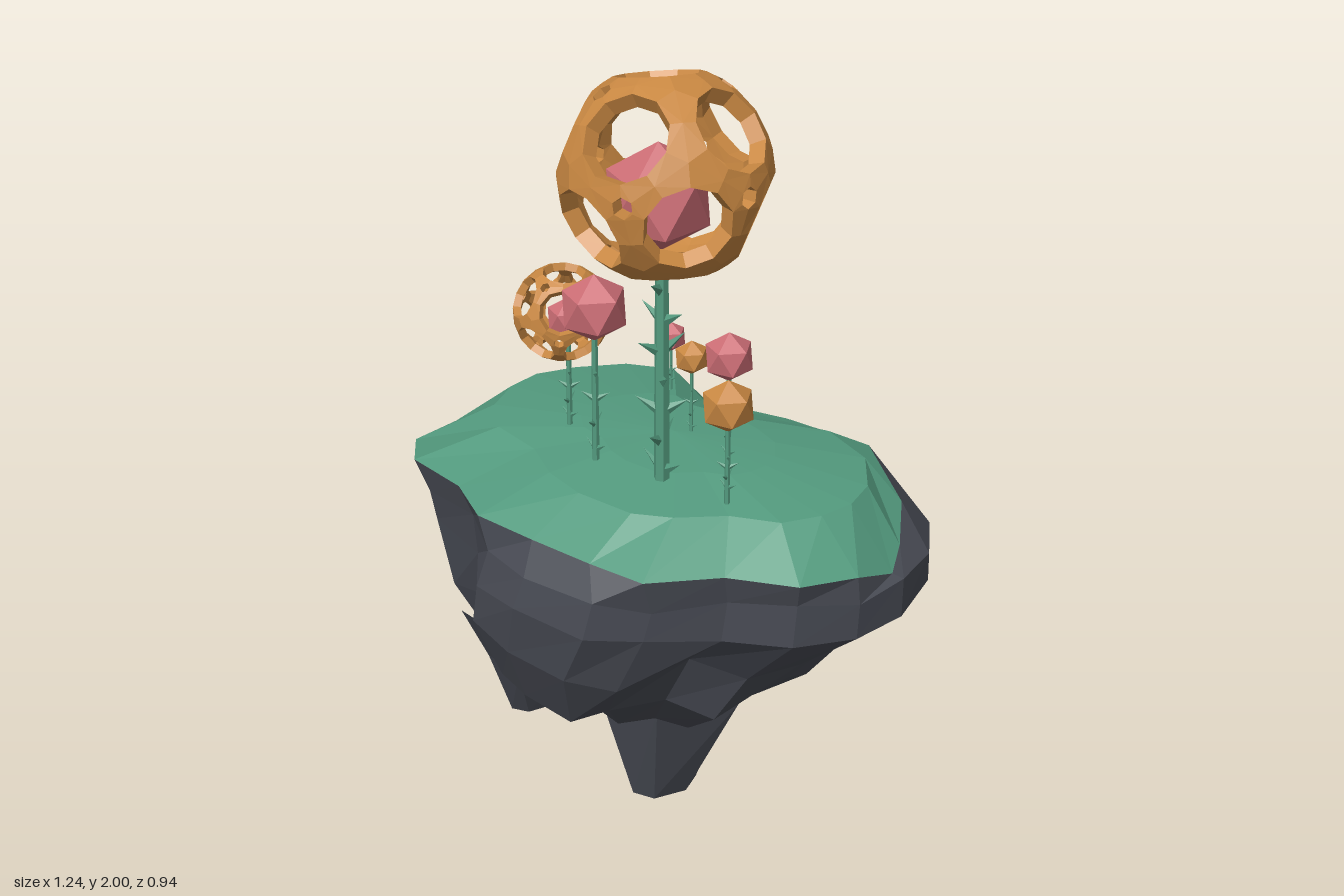
import * as THREE from 'three';

const flat = (name, color) => {
  const m = new THREE.MeshStandardMaterial({ color, flatShading: true });
  m.name = name;
  return m;
};
const rock = flat('slate rock', 0x484b54);
const grass = flat('grass green', 0x539a7e);
const amber = flat('amber shell', 0xc98842);
const pink = flat('pink core', 0xcc6d75);
const V = (x, y, z) => new THREE.Vector3(x, y, z);

function mesh(name, geometry, material, parent) {
  const m = new THREE.Mesh(geometry, material);
  m.name = name;
  parent.add(m);
  return m;
}

function fromTriangles(points) {
  const g = new THREE.BufferGeometry().setFromPoints(points);
  g.computeVertexNormals();
  return g;
}

// Skin between rings that run clockwise from above, listed top to bottom.
// pick(band, column) sorts each quad into a bucket.
function loft(rings, pick = () => 0) {
  const buckets = [[], []];
  for (let r = 0; r + 1 < rings.length; r++) {
    const a = rings[r], b = rings[r + 1], n = a.length;
    for (let i = 0; i < n; i++) {
      const j = (i + 1) % n;
      const out = buckets[pick(r, i)];
      if (!a[i].equals(a[j])) out.push(a[i], a[j], b[j]);
      if (!b[i].equals(b[j])) out.push(a[i], b[j], b[i]);
    }
  }
  return buckets.map(fromTriangles);
}

const noise = (a, b) => {
  const s = Math.sin(a * 127.1 + b * 311.7) * 43758.5453;
  return (s - Math.floor(s)) * 2 - 1;
};

// Plan outline of the island: left edge, back, right edge, front
const outline = [
  [-0.62, -0.02], [-0.57, -0.16], [-0.48, -0.31], [-0.35, -0.405], [-0.2, -0.385], [0.08, -0.475], [0.27, -0.455],
  [0.46, -0.4], [0.58, -0.26], [0.62, -0.13], [0.61, 0], [0.56, 0.13], [0.43, 0.22], [0.33, 0.36],
  [0.23, 0.44], [0.04, 0.47], [-0.11, 0.445], [-0.25, 0.37], [-0.43, 0.35], [-0.55, 0.25], [-0.61, 0.11],
];
// Lower edge of the turf: x, y, z
const rim = [
  [-0.572, 0.945, -0.02], [-0.57, 0.945, -0.16], [-0.48, 0.95, -0.31], [-0.35, 0.96, -0.325], [-0.165, 0.97, -0.325],
  [0.05, 1, -0.36], [0.25, 0.985, -0.42], [0.47, 0.98, -0.285], [0.56, 0.95, -0.18], [0.603, 0.925, -0.11],
  [0.605, 0.96, 0], [0.56, 0.97, 0.13], [0.43, 0.975, 0.22], [0.33, 0.975, 0.36], [0.2, 0.98, 0.39],
  [0.04, 0.98, 0.41], [-0.12, 0.98, 0.425], [-0.25, 0.98, 0.37], [-0.43, 0.97, 0.35], [-0.55, 0.94, 0.25], [-0.573, 0.93, 0.11],
];
// Level: y, min x, max x, min z, max z
const levels = [
  [1.09, 0.04, 0.04, -0.01, -0.01],
  [1.08, -0.2, 0.28, -0.17, 0.15],
  [1.053, -0.44, 0.49, -0.32, 0.29],
  [0.975, -0.575, 0.605, -0.42, 0.425],
  [0.9, -0.58, 0.62, -0.46, 0.455],
  [0.82, -0.62, 0.615, -0.475, 0.47],
  [0.68, -0.55, 0.46, -0.47, 0.44],
  [0.53, -0.46, 0.33, -0.35, 0.37],
  [0.41, -0.41, 0.16, -0.27, 0.21],
  [0.29, -0.2, -0.2, 0.03, 0.03],
];
// Grassy ledges, set by level then column: x, y, z
const ledges = {
  4: { 0: [-0.535, 0.865, -0.02], 20: [-0.535, 0.865, 0.1], 2: [-0.465, 0.86, -0.3], 3: [-0.33, 0.9, -0.33], 4: [-0.04, 0.87, -0.39] },
  5: { 0: [-0.618, 0.805, -0.02], 20: [-0.61, 0.8, 0.11], 2: [-0.46, 0.7, -0.325], 3: [-0.35, 0.67, -0.405], 4: [-0.2, 0.73, -0.387] },
};

function buildIsland(parent) {
  const island = new THREE.Group();
  island.name = 'floatingIsland';
  parent.add(island);
  const rings = levels.map(([y, x0, x1, z0, z1], r) => outline.map(([ox, oz], i) => {
    if (r === 3) return V(...rim[i]);
    if (ledges[r]?.[i]) return V(...ledges[r][i]);
    const p = V((x0 + x1) / 2 + (ox / 0.62) * (x1 - x0) / 2, y, (z0 + z1) / 2 + (oz / 0.473) * (z1 - z0) / 2);
    const pull = (k) => p.set(p.x * k, p.y, p.z * k);
    const leftFront = i >= 17 && i <= 19, rightFront = i >= 11 && i <= 13;
    if (r === 2 && (i === 4 || i === 5)) p.y -= 0.035;
    if (r === 4 || r === 5) p.y += 0.018 * noise(i, r);
    // walls under the turf lean inward at the front corners
    if (r === 5 && (leftFront || i === 1)) pull(0.92);
    if ((r === 4 || r === 5) && rightFront) pull(0.97);
    if ((r === 6 || r === 7) && leftFront) pull(0.91);
    if (r === 6 && i >= 2 && i <= 4) pull(0.9).y -= 0.09;
    // crags on the rock walls
    if (r > 5 && r < 9) {
      pull(1 + 0.06 * noise(r, i));
      p.y += 0.035 * noise(i, r + 5);
    }
    return p;
  }));
  const isGrass = (band, i) => band < 3 || (band === 4 && [0, 2, 3, 20].includes(i));
  const [stone, turf] = loft(rings, (b, i) => (isGrass(b, i) ? 1 : 0));
  mesh('rockBody', stone, rock, island);
  mesh('grassTop', turf, grass, island);

  // Hanging rock spikes: each ring is y, min x, max x, min z, max z, tilt along x
  const spike = (name, sections) => {
    const loops = sections.map(([y, x0, x1, z0, z1, tilt = 0], r) => Array.from({ length: 6 }, (_, i) => {
      const a = Math.PI + (i / 6) * Math.PI * 2, k = r < 2 ? 1 + 0.05 * noise(i, r) : 1;
      const c = Math.cos(a) * k;
      return V((x0 + x1) / 2 + c * (x1 - x0) / 2, y + tilt * (c + 1) / 2,
        (z0 + z1) / 2 + Math.sin(a) * k * (z1 - z0) / 1.73);
    }));
    const last = sections[sections.length - 1];
    const tip = V((last[1] + last[2]) / 2, last[0] + last[5] / 2, (last[3] + last[4]) / 2);
    loops.push(loops[0].map(() => tip));
    mesh(name, loft(loops)[0], rock, island);
  };
  spike('mainSpike', [[0.56, -0.42, 0.27, -0.34, 0.1], [0.36, -0.32, 0.13, -0.28, 0.02], [0, -0.18, -0.03, -0.19, -0.05, 0.04]]);
  spike('sideSpike', [[0.56, -0.47, -0.12, -0.1, 0.27], [0.4, -0.44, -0.22, -0.05, 0.19], [0.21, -0.415, -0.29, 0, 0.125, 0.04]]);
}

// Hollow ball with twelve ten-sided windows and eight small corner holes,
// turned so that neighbouring windows face `first` and `second`
function cageGeometry(radius, windowAngle, first, second) {
  const phi = (1 + Math.sqrt(5)) / 2, centres = [], tris = [];
  for (const s of [1, -1]) for (const t of [phi, -phi])
    centres.push(V(0, s, t).normalize(), V(s, t, 0).normalize(), V(t, 0, s).normalize());
  const near = (a, b) => a.dot(b) > 0.4 && a.dot(b) < 0.9;
  const toward = (a, b, deg) => {
    const t = b.clone().addScaledVector(a, -a.dot(b)).normalize(), w = THREE.MathUtils.degToRad(deg);
    return a.clone().multiplyScalar(Math.cos(w)).addScaledVector(t, Math.sin(w));
  };
  const inner = (p) => p.clone().multiplyScalar(0.84);
  for (const c of centres) for (const n of centres) for (const m of centres) {
    if (!near(c, n) || !near(c, m) || !near(n, m)) continue;
    const corner = c.clone().add(n).add(m).normalize(), mid = c.clone().add(n).normalize();
    const holed = Math.min(Math.abs(corner.x), Math.abs(corner.y), Math.abs(corner.z)) > 0.5;
    const hc = toward(c, corner, windowAngle), hm = toward(c, mid, windowAngle);
    const p = holed ? toward(corner, mid, 6) : corner;
    const q = holed ? toward(corner, c, 6) : corner;
    const flip = c.dot(n.clone().cross(m)) < 0;
    const add = (a, b, d) => (flip ? tris.push(a, d, b) : tris.push(a, b, d));
    const skin = (a, b, d) => { add(a, b, d); add(inner(a), inner(d), inner(b)); };
    const wall = (a, b) => { add(b, a, inner(a)); add(b, inner(a), inner(b)); };
    skin(hc, hm, mid);
    skin(hc, mid, p);
    wall(hc, hm);
    if (holed) { skin(hc, p, q); wall(p, q); }
  }
  const basis = (f, s) => {
    const x = f.clone().normalize(), z = x.clone().cross(s).normalize();
    return new THREE.Matrix4().makeBasis(x, z.clone().cross(x), z);
  };
  const turn = basis(first, second).multiply(basis(V(-1, phi, 0), V(0, 1, phi)).invert());
  return fromTriangles(tris).applyMatrix4(turn).scale(radius, radius, radius);
}

// Twenty-sided ball with a corner pointing up
const ballGeometry = (r) => new THREE.IcosahedronGeometry(r, 0).rotateZ(-Math.atan(2 / (1 + Math.sqrt(5))));

// Stem with pairs of pointed leaves, each pair turned from the last
function buildStem(parent, x, z, top, r, leaf, pairs, leafTop) {
  const base = 1.04;
  const stem = mesh('stem', new THREE.CylinderGeometry(r * 0.8, r, top - base, 6), grass, parent);
  stem.position.set(x, (top + base) / 2, z);
  for (let i = 0; i < pairs; i++) {
    const y = 1.1 + (leafTop - 1.1) * (i / (pairs - 1));
    for (const side of [0, Math.PI]) {
      const g = new THREE.ConeGeometry(leaf * 0.24, leaf, 4).scale(1, 1, 0.6).translate(0, leaf / 2, 0);
      g.rotateZ(-1.05).translate(r * 0.5, 0, 0).rotateY(side + i * 1.9);
      mesh('leaf', g, grass, parent).position.set(x, y, z);
    }
  }
}

export function createModel() {
  const model = new THREE.Group();
  model.name = 'floatingIslandGarden';
  buildIsland(model);

  const plant = (name) => {
    const g = new THREE.Group();
    g.name = name;
    model.add(g);
    return g;
  };

  // Large caged flower
  const big = plant('largeCageFlower');
  buildStem(big, 0.157, 0.14, 1.6, 0.018, 0.055, 7, 1.52);
  mesh('cage', cageGeometry(0.222, 25, V(-0.1, -0.35, 0.93), V(0.26, 0.76, 0.6)), amber, big).position.set(0.175, 1.779, 0.147);
  mesh('core', ballGeometry(0.12), pink, big).position.set(0.157, 1.725, 0.15);

  // Small caged flower
  const small = plant('smallCageFlower');
  buildStem(small, -0.165, 0.115, 1.3, 0.007, 0.026, 5, 1.24);
  mesh('cage', cageGeometry(0.108, 26.5, V(0.1, 1, 0), V(-0.1, 0.45, -0.89)), amber, small).position.set(-0.178, 1.347, 0.12);
  mesh('core', ballGeometry(0.05), pink, small).position.set(-0.165, 1.335, 0.115);

  // Bud flowers: x, y, z, radius, material
  for (const [x, y, z, r, material] of [
    [-0.008, 1.433, 0.18, 0.077, pink],
    [0.207, 1.33, -0.01, 0.057, pink],
    [-0.137, 1.207, -0.17, 0.036, pink],
    [0.315, 1.291, 0.1, 0.06, amber],
    [0.063, 1.268, -0.04, 0.04, amber],
  ]) {
    const bud = plant('budFlower');
    buildStem(bud, x, z, y, r * 0.11, r * 0.4, 4, y - r * 2);
    mesh('bud', ballGeometry(r), material, bud).position.set(x, y, z);
  }
  return model;
}
